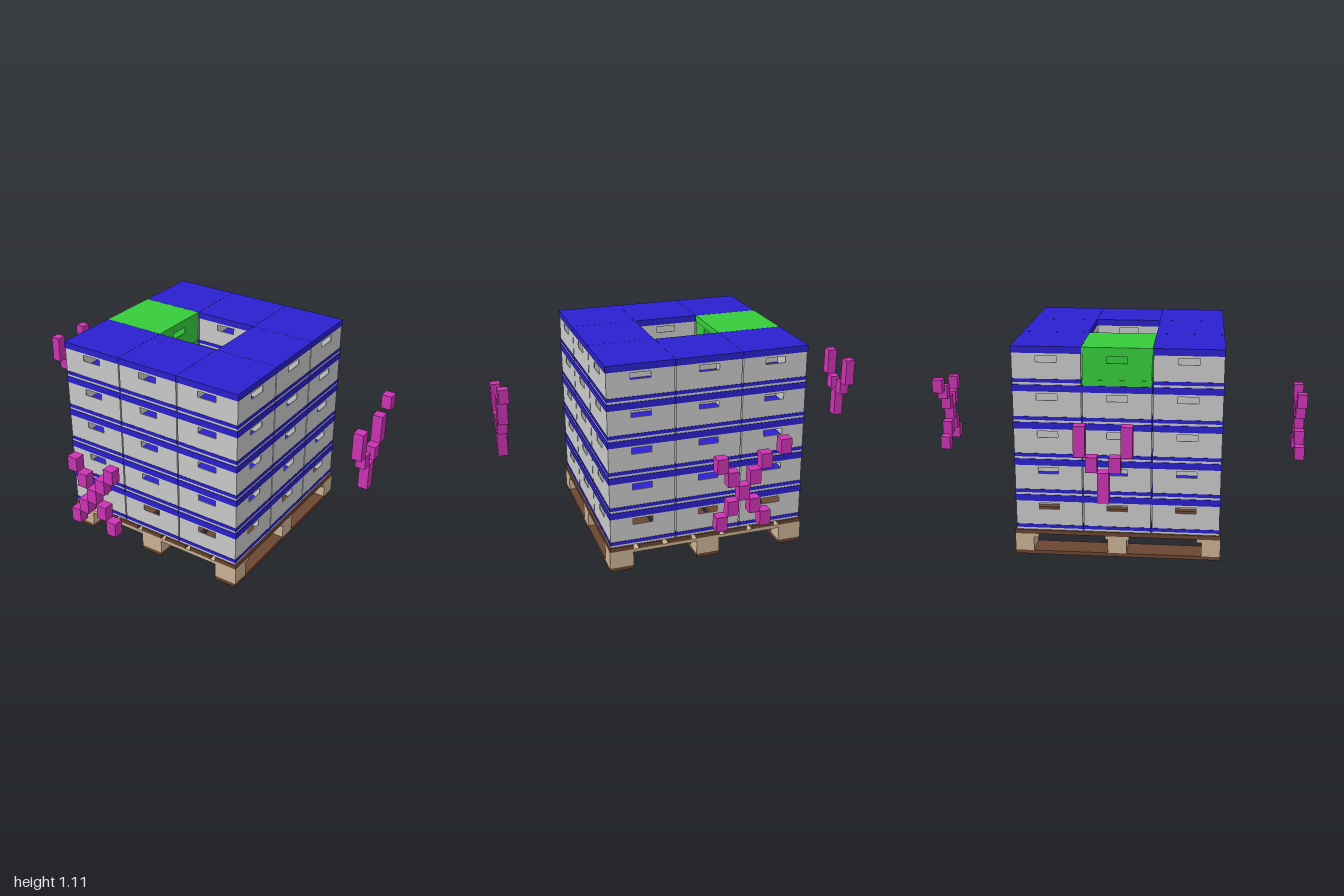
import * as THREE from 'three';

const mat = (name, color, side = THREE.FrontSide) => {
  const m = new THREE.MeshStandardMaterial({ color, side });
  m.name = name;
  return m;
};

export function createModel() {
  const blue = mat('blue', 0x2a20d0);
  const green = mat('green', 0x36cc3c);
  const grey = mat('light grey', 0xcacaca);
  const beige = mat('pale wood', 0xcbb394);
  const brown = mat('dark wood', 0x6b4632);
  const magenta = mat('magenta', 0xcc33b4);

  const CX = 0.01, CZ = 0.022; // centre of the stack
  const model = new THREE.Group();
  model.name = 'loadedPallet';

  const box = (parent, name, material, w, h, d, x, y, z) => {
    const m = new THREE.Mesh(new THREE.BoxGeometry(w, h, d), material);
    m.name = name;
    m.position.set(x, y, z);
    parent.add(m);
    return m;
  };

  // Pallet: runners, blocks, cross boards and deck boards
  const pallet = new THREE.Group();
  pallet.name = 'pallet';
  pallet.position.set(CX, 0, CZ);
  model.add(pallet);
  const L = 1.06;
  for (const i of [-1, 0, 1]) {
    box(pallet, 'runner', brown, 0.125, 0.02, L, i * 0.4675, 0.01, 0);
    box(pallet, 'crossBoard', beige, L, 0.018, 0.123, 0, 0.104, i * 0.4685);
    for (const k of [-1, 0, 1])
      box(pallet, 'block', beige, 0.125, 0.075, 0.097, i * 0.4675, 0.0575, k * 0.4815);
  }
  for (let i = -3; i <= 3; i++)
    box(pallet, 'deckBoard', brown, 0.125, 0.022, L, i * 0.1558, 0.124, 0);

  // Crate wall with a hand hole, outer face at z = 0
  const T = 0.005, H = 0.16, HALF = 0.1715;
  const wallGeometry = (half) => {
    const s = new THREE.Shape();
    s.moveTo(-half, 0).lineTo(half, 0).lineTo(half, H).lineTo(-half, H).closePath();
    const h = new THREE.Path();
    h.moveTo(-0.052, 0.115).lineTo(-0.052, 0.148).lineTo(0.052, 0.148).lineTo(0.052, 0.115).closePath();
    s.holes.push(h);
    return new THREE.ExtrudeGeometry(s, { depth: T, bevelEnabled: false }).translate(0, 0, -T);
  };
  const walls = [wallGeometry(HALF), wallGeometry(HALF - T)];

  // Bottomless crate: four walls, a band near the foot and a lid
  const crate = (bodyMat, trimMat) => {
    const g = new THREE.Group();
    g.name = 'crate';
    for (let i = 0; i < 4; i++) {
      const side = new THREE.Group();
      side.name = 'crateSide';
      side.rotation.y = i * Math.PI / 2;
      const wall = new THREE.Mesh(walls[i % 2], bodyMat);
      wall.name = 'crateWall';
      wall.position.z = HALF;
      side.add(wall);
      box(side, 'crateBand', trimMat, 2 * HALF + 0.002, 0.018, 0.002, 0, 0.021, HALF + 0.001);
      g.add(side);
    }
    box(g, 'lid', trimMat, 0.349, 0.034, 0.349, 0, 0.177, 0);
    return g;
  };

  // Five layers of eight crates around an open shaft
  for (let layer = 0; layer < 5; layer++)
    for (const i of [-1, 0, 1])
      for (const k of [-1, 0, 1]) {
        if (i === 0 && k === 0) continue;
        const odd = layer === 4 && i === -1 && k === 0;
        const c = odd ? crate(green, green) : crate(grey, blue);
        c.position.set(CX + i * 0.35, 0.135 + layer * 0.194, CZ + k * 0.35);
        model.add(c);
      }

  // Floating side markers made of small blocks; cells are [column, row]
  const PX = 0.0535, PY = 0.0726;
  const cross = [[-2, 4], [2, 4], [-1, 3], [1, 3], [0, 2], [-1, 1], [1, 1], [-2, 0], [2, 0]];
  const fork = [[0, 0], [0, 1], [-1, 2], [1, 2], [-2, 3], [2, 3], [-2, 4], [2, 4]];
  const marker = (name, cells, x, y, z, turn) => {
    const g = new THREE.Group();
    g.name = name;
    g.position.set(x, y, z);
    g.rotation.y = turn;
    for (const [c, r] of cells)
      box(g, 'markerBlock', magenta, PX, PY, 0.052, c * PX, r * PY, 0);
    model.add(g);
  };
  marker('frontMarker', cross, 0.007, 0.456, 0.967, 0);
  marker('backMarker', [...cross, [3.75, 4.8]], 0.019, 0.456, -0.97, Math.PI);
  marker('leftMarker', [...fork, [3.7, 5]], 0.971, 0.531, 0.034, Math.PI / 2);
  marker('rightMarker', fork, -0.974, 0.531, 0.003, -Math.PI / 2);

  return model;
}
